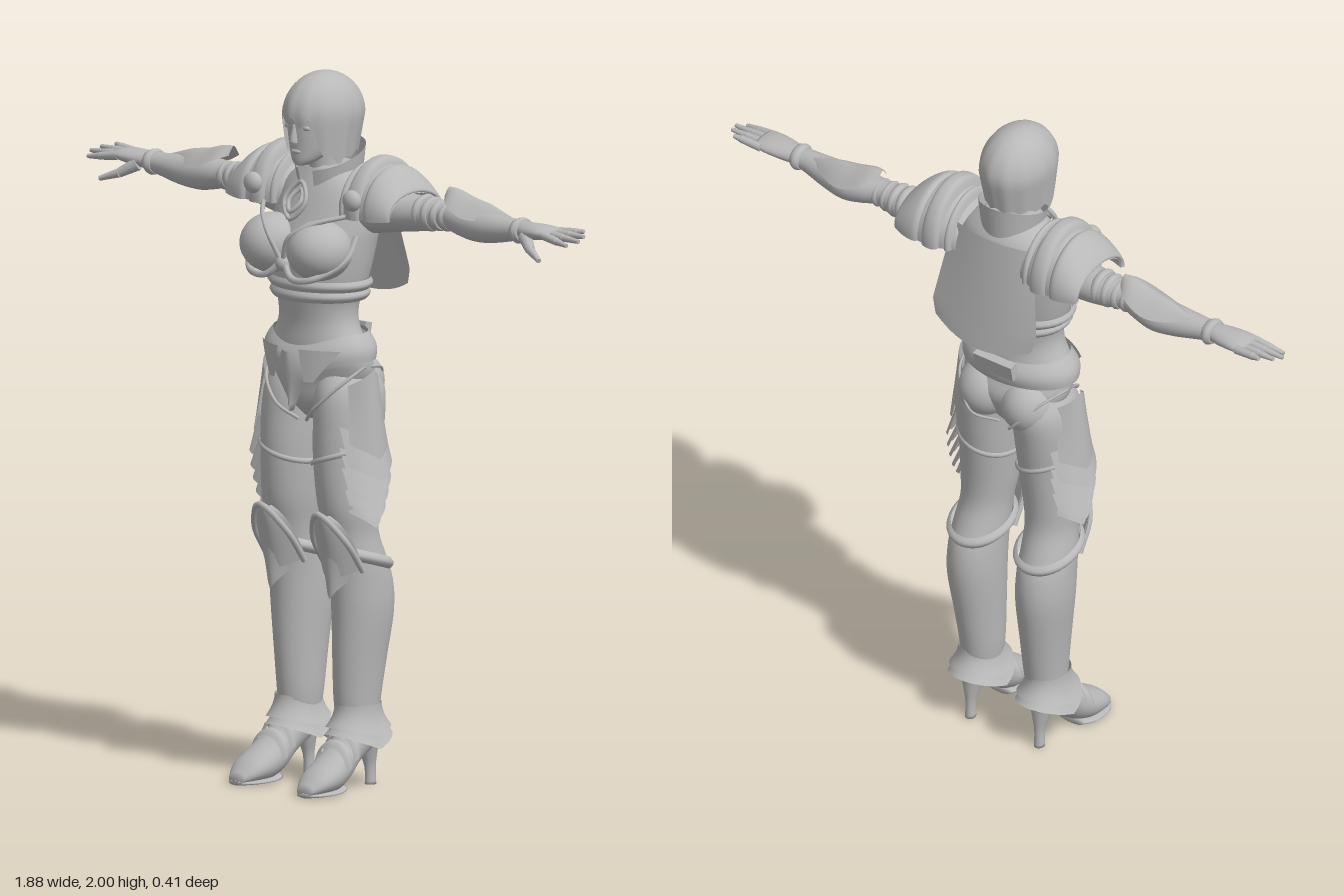
import * as THREE from 'three';
import { mergeVertices } from 'three/addons/utils/BufferGeometryUtils.js';

const steel = new THREE.MeshStandardMaterial({ name: 'plain grey', color: 0xb8b8b8, side: THREE.DoubleSide });
const { sin, cos, PI, abs, max, sqrt, min } = Math;
const V = (x, y, z) => new THREE.Vector3(x, y, z);

// smooth value through the section rows
function spline(rows, s) {
  const i = min(Math.floor(s), rows.length - 2), t = s - i;
  const at = k => rows[max(0, min(rows.length - 1, k))];
  return rows[0].map((_, c) => {
    const [p, a, b, q] = [at(i - 1)[c], at(i)[c], at(i + 1)[c], at(i + 2)[c]];
    const m = (b - p) / 2, n = (q - a) / 2;
    return a + m * t + (3 * (b - a) - 2 * m - n) * t * t + (2 * (a - b) + m + n) * t * t * t;
  });
}

// closed body from elliptical sections; row = [position on axis, centre a, centre b, radius a, radius b]
function loft(axis, rows, n = 28, steps = 4, capped = true) {
  const pos = [], idx = [], count = (rows.length - 1) * steps + 1;
  const place = (t, a, b) => axis === 'y' ? pos.push(a, t, b) : axis === 'x' ? pos.push(t, a, b) : pos.push(a, b, t);
  for (let i = 0; i < count; i++) {
    const [t, a, b, ra, rb] = spline(rows, i / steps);
    for (let j = 0; j < n; j++) {
      const w = j / n * PI * 2, c = cos(w), s = sin(w);
      axis === 'y' ? place(t, a + ra * c, b + rb * s) : place(t, a + ra * s, b + rb * c);
    }
  }
  for (let i = 0; i < count - 1; i++) for (let j = 0; j < n; j++) {
    const a = i * n + j, b = i * n + (j + 1) % n;
    idx.push(a, a + n, b, b, a + n, b + n);
  }
  if (capped) {
    const first = rows[0], last = rows[rows.length - 1], c = count * n, e = (count - 1) * n;
    place(...first); place(...last);
    for (let j = 0; j < n; j++) {
      const k = (j + 1) % n;
      idx.push(c, j, k, c + 1, e + k, e + j);
    }
  }
  return finish(pos, idx);
}

function finish(pos, idx) {
  const g = new THREE.BufferGeometry();
  g.setAttribute('position', new THREE.Float32BufferAttribute(pos, 3));
  g.setIndex(idx);
  g.computeVertexNormals();
  return g;
}

// thin curved sheet from a rule f(u, v) -> [x, y, z]
function sheet(nu, nv, f) {
  const pos = [], idx = [];
  for (let i = 0; i <= nv; i++) for (let j = 0; j <= nu; j++) pos.push(...f(j / nu, i / nv));
  for (let i = 0; i < nv; i++) for (let j = 0; j < nu; j++) {
    const a = i * (nu + 1) + j, b = a + nu + 1;
    idx.push(a, b, a + 1, a + 1, b, b + 1);
  }
  const g = mergeVertices(finish(pos, idx).deleteAttribute('normal'), 1e-5);
  g.computeVertexNormals();
  return g;
}

const ball = (x, y, z, rx, ry, rz) => new THREE.SphereGeometry(1, 24, 16).scale(rx, ry, rz).translate(x, y, z);
const tube = (pts, r, closed = false) =>
  new THREE.TubeGeometry(new THREE.CatmullRomCurve3(pts.map(p => V(...p)), closed, 'centripetal'), 24, r, 6, closed);
function rod(a, b, r0, r1) {
  const p = V(...a), q = V(...b), d = q.clone().sub(p);
  const g = new THREE.CylinderGeometry(r1, r0, d.length(), 10);
  g.applyQuaternion(new THREE.Quaternion().setFromUnitVectors(V(0, 1, 0), d.normalize()));
  const m = p.add(q).multiplyScalar(0.5);
  return g.translate(m.x, m.y, m.z);
}

function mirrored(geo) {
  const g = geo.clone().scale(-1, 1, 1), a = g.index.array;
  for (let i = 0; i < a.length; i += 3) [a[i + 1], a[i + 2]] = [a[i + 2], a[i + 1]];
  return g;
}

export function createModel() {
  const model = new THREE.Group();
  model.name = 'armouredFigure';
  const add = (name, geo) => { const m = new THREE.Mesh(geo, steel); m.name = name; model.add(m); };
  const pair = (name, geo) => { add(name + 'Left', geo); add(name + 'Right', mirrored(geo)); };

  // torso
  add('torso', loft('y', [[1.03, 0, -.01, .03, .05], [1.08, 0, -.01, .1, .088], [1.15, 0, -.02, .16, .105],
    [1.22, 0, 0, .168, .1], [1.3, 0, .005, .128, .092], [1.36, 0, .005, .125, .1], [1.42, 0, 0, .148, .115],
    [1.52, 0, -.012, .165, .128], [1.6, 0, -.03, .17, .118], [1.68, 0, -.045, .15, .1], [1.74, 0, -.04, .07, .065]], 36));
  pair('buttock', ball(.073, 1.13, -.062, .08, .085, .086));
  pair('breastCup', ball(.09, 1.52, .095, .09, .084, .095));
  pair('cupLowerRim', tube([[0, 1.49, .145], [.05, 1.445, .165], [.12, 1.45, .155], [.175, 1.5, .08], [.17, 1.56, .03]], .01));
  pair('cupUpperRim', tube([[0, 1.48, .15], [.04, 1.56, .165], [.1, 1.6, .125], [.16, 1.62, .06]], .007));
  add('chestStud', ball(0, 1.48, .15, .022, .022, .018));
  for (const [y, r] of [[1.385, .14], [1.415, .152]]) add('ribBand',
    loft('y', [[y - .015, 0, 0, r, .118], [y, 0, 0, r + .012, .126], [y + .015, 0, 0, r + .004, .12]], 36, 3, false));
  [.05, .028].forEach(r => add('chestDiamond',
    tube([[0, 1.65 + r, .075], [r * .8, 1.65, .1], [0, 1.65 - r, .12], [-r * .8, 1.65, .1]], .007, true)));

  // neck and standing collar, open at the throat
  add('neck', loft('y', [[1.68, 0, -.035, .06, .06], [1.74, 0, -.02, .046, .05], [1.8, 0, -.01, .045, .05]]));
  add('collar', sheet(32, 6, (u, v) => {
    const w = PI / 2 + .3 + u * (2 * PI - .6), back = (1 - sin(w)) / 2, r = .08 + .012 * v;
    return [r * 1.02 * cos(w), 1.67 + v * (.06 + .07 * back), -.04 + (r + .012) * sin(w)];
  }));

  // head
  add('face', loft('y', [[1.748, 0, .072, .018, .022], [1.765, 0, .052, .04, .046], [1.8, 0, .025, .06, .075],
    [1.85, 0, .008, .073, .096], [1.9, 0, 0, .08, .104], [1.95, 0, 0, .065, .08], [1.975, 0, 0, .03, .04]]));
  add('nose', loft('y', [[1.812, 0, .103, .012, .012], [1.822, 0, .104, .011, .013], [1.865, 0, .1, .006, .006]], 10));
  add('lips', ball(0, 1.787, .096, .018, .007, .007));
  pair('eye', ball(.033, 1.855, .091, .015, .007, .006));
  add('hair', sheet(96, 16, (u, v) => {
    const w = -PI / 2 + u * 2 * PI, front = sin(w), jag = abs((u * 24) % 2 - 1);
    const blend = THREE.MathUtils.smoothstep(front, .55, .9);
    const low = THREE.MathUtils.lerp(1.765 + .02 * max(0, -front), 1.87, blend) + .03 * (jag - .5) * (front > 0 ? 1 : .4);
    const y = 2 - (2 - low) * (1 - cos(v * PI / 2));
    const r = y > 1.88 ? sqrt(max(0, 1 - ((y - 1.88) / .12) ** 2)) : 1 - 1.6 * (1.88 - y) * (front < 0 ? 1 : .6);
    const ridge = 1 + .012 * sin(u * 24 * PI) * v;
    return [.1 * r * ridge * cos(w), y, -.014 + .128 * r * ridge * front];
  }));

  // back plate
  add('backPlate', sheet(24, 14, (u, v) => {
    const s = u * 2 - 1;
    return [s * (.135 + .05 * v) * (v > .85 ? 1 - (v - .85) * .8 : 1), 1.7 - v * (.34 - .04 * s * s),
      -.155 - .05 * v + .025 * s * s];
  }));

  // shoulder armour: arched shells stepping outwards
  const arch = (rows) => sheet(28, (rows.length - 1) * 4, (u, v) => {
    const [x, ry, rz] = spline(rows, v * (rows.length - 1)), a = -.1 + u * (PI + .2);
    return [x, 1.63 + ry * sin(a), -.058 + rz * cos(a)];
  });
  pair('pauldronShell', arch([[.11, .08, .1], [.16, .12, .118], [.21, .128, .122], [.26, .105, .118], [.31, .06, .1]]));
  pair('pauldronRib', arch([[.155, .115, .115], [.165, .145, .128], [.185, .15, .132], [.205, .145, .128], [.215, .12, .118]]));
  pair('pauldronOuterPlate', arch([[.225, .125, .122], [.24, .13, .13], [.275, .108, .126], [.312, .07, .112], [.305, .06, .1]]));
  pair('pauldronInnerRim', arch([[.12, .1, .1], [.128, .125, .115], [.14, .125, .115], [.146, .1, .1]]));
  pair('pauldronStud', ball(.19, 1.67, .07, .03, .03, .022));

  // arms
  pair('arm', loft('x', [[.14, 1.63, -.05, .075, .07], [.28, 1.63, -.07, .053, .058], [.36, 1.635, -.075, .046, .048],
    [.42, 1.64, -.075, .037, .038], [.47, 1.635, -.077, .043, .047], [.53, 1.63, -.08, .048, .053],
    [.6, 1.63, -.075, .042, .046], [.68, 1.636, -.07, .031, .034], [.72, 1.64, -.07, .027, .034]]));
  for (const [x, r] of [[.335, .052], [.365, .049], [.395, .044], [.425, .041]]) pair('armBand',
    loft('x', [[x - .013, 1.637, -.074, r - .006, r - .004], [x, 1.637, -.074, r, r + .002], [x + .013, 1.637, -.074, r - .006, r - .004]], 24, 3));
  const guard = [[.415, .02, 1.72, 1.695], [.45, .052, 1.718, 1.68], [.51, .064, 1.702, 1.655], [.57, .05, 1.692, 1.65], [.65, .006, 1.668, 1.66]];
  pair('forearmGuard', sheet(12, 16, (u, v) => {
    const [x, hw, top, edge] = spline(guard, v * 4), s = u * 2 - 1;
    return [x, top + (edge - top) * abs(s) ** 1.5, -.085 + hw * s];
  }));
  pair('gauntletCuff', loft('x', [[.69, 1.638, -.07, .031, .035], [.705, 1.638, -.07, .037, .043], [.72, 1.64, -.07, .03, .036]], 24, 3));

  // hands
  pair('palm', loft('x', [[.71, 1.64, -.07, .024, .03], [.75, 1.642, -.07, .024, .04], [.8, 1.645, -.071, .02, .046], [.835, 1.645, -.072, .013, .042]]));
  [[-.108, .9, 1.655], [-.085, .928, 1.648], [-.061, .938, 1.64], [-.038, .92, 1.63]].forEach(([z, tip, y], i) => {
    const spread = (z + .072) * .3, k = [.875, y * .6 + .658, z + spread * .5];
    pair('fingerBase' + i, rod([.815, 1.645, z], k, .0125, .011));
    pair('fingerTip' + i, rod(k, [tip, y, z + spread], .0105, .006));
    pair('knuckle' + i, ball(...k, .011, .011, .011));
  });
  pair('thumbBase', rod([.745, 1.63, -.045], [.79, 1.602, -.018], .02, .014));
  pair('thumbTip', rod([.79, 1.602, -.018], [.845, 1.582, .004], .013, .007));

  // hips: belt dipping at the front, buckle, hanging plates, brief seams
  add('belt', sheet(48, 8, (u, v) => {
    const w = -PI / 2 + u * 2 * PI, f = max(0, sin(w)) ** 3, bulge = .012 * sin(v * PI);
    return [(.18 - .03 * v + bulge) * cos(w), 1.205 + .075 * v - f * .035, -.002 + (.118 - .01 * v + bulge) * sin(w)];
  }));
  add('backBuckle', new THREE.BoxGeometry(.13, .05, .025).rotateX(-.2).translate(0, 1.26, -.122));
  add('frontPlate', sheet(8, 8, (u, v) => {
    const s = u * 2 - 1, w = v < .35 ? .03 + v * .1 : .065 * (1 - (v - .35) / .65);
    return [s * w, 1.23 - .17 * v, .14 - .02 * abs(s) - .015 * v];
  }));
  pair('hipPlate', sheet(6, 8, (u, v) => {
    const x = .04 + u * .11 * (1 - v * .75) + v * .015;
    return [x, 1.24 - .09 * v, .128 - x * x * 2.6 + .004];
  }));
  pair('briefSeam', tube([[.172, 1.19, .0], [.14, 1.14, .07], [.07, 1.07, .1], [.015, 1.03, .07]], .005));
  pair('briefBackSeam', tube([[.172, 1.19, -.02], [.14, 1.17, -.1], [.07, 1.09, -.145], [.02, 1.04, -.08]], .004));

  // legs
  pair('leg', loft('y', [[.13, .115, -.035, .05, .055], [.23, .109, -.034, .058, .07], [.35, .112, -.04, .065, .084],
    [.49, .117, -.048, .076, .097], [.58, .117, -.042, .077, .097], [.65, .115, -.025, .075, .088], [.72, .11, -.01, .072, .08],
    [.8, .107, 0, .08, .09], [.92, .101, -.002, .085, .102], [1.02, .1, -.01, .09, .108], [1.12, .094, -.02, .085, .108], [1.19, .085, -.02, .05, .07]], 32));
  pair('stockingHem', sheet(32, 4, (u, v) => {
    const w = u * PI * 2, r = .003 + .004 * sin(v * PI);
    return [.101 + (.086 + r) * cos(w), .925 + .016 * v + .03 * cos(w), -.002 + (.103 + r) * sin(w)];
  }));
  pair('bootLip', sheet(36, 6, (u, v) => {
    const w = -PI / 2 + u * PI * 2, f = (1 + sin(w)) / 2, r = .006 + .012 * sin(v * PI);
    return [.114 + (.076 + r) * cos(w), .6 + .035 * v + .06 * f, -.028 + (.092 + r) * sin(w)];
  }));

  // knee armour: pointed crest over a lower chevron
  pair('kneeCrest', sheet(14, 12, (u, v) => {
    const s = u * 2 - 1, hw = .076 * sqrt(max(0, 1 - (v * .97) ** 3));
    return [.112 + s * hw, .6 + .18 * v + .03 * s * s * (1 - v), .078 + .045 * v - .06 * s * s * (1 - v * .6)];
  }));
  pair('kneeArch', tube([[.185, .62, .02], [.175, .71, .08], [.112, .785, .125], [.05, .71, .08], [.04, .62, .02]], .009));
  pair('kneeChevron', sheet(10, 6, (u, v) => {
    const s = u * 2 - 1;
    return [.114 + s * .055 * (1 - v * .3), .68 - .09 * v + .05 * (1 - abs(s)) * (1 - 2 * v), .1 - .02 * v - .035 * s * s];
  }));

  // overlapping thigh scales on the outer sides
  const scales = [[1.155, .97, .075, .205, .228], [1.02, .91, .085, .2, .236], [.96, .87, .082, .197, .235],
    [.92, .835, .077, .194, .23], [.88, .8, .07, .19, .224], [.85, .775, .06, .186, .214]];
  scales.forEach(([top, low, hw, x0, x1], i) => pair('thighScale' + i, sheet(12, 6, (u, v) => {
    const s = u * 2 - 1, drop = .045 * (1 - abs(s)) - .012;
    const narrow = i === 0 ? .75 + .25 * v : 1;
    return [x0 + (x1 - x0) * v - .045 * s * s, top + (low - top) * v - drop * (i === 0 ? v * 2 - 1 : 1), -.002 + s * hw * narrow];
  })));

  // boots: flared cuff, instep bands, foot and heel
  [[.235, .15, .058, .084], [.2, .115, .062, .088]].forEach(([top, low, r0, r1], i) => pair('ankleFlare' + i, sheet(32, 6, (u, v) => {
    const w = -PI / 2 + u * PI * 2, r = r0 + (r1 - r0) * v * v;
    const y = top + (low - top) * v + (i ? .04 : .025) * v * abs(sin(w));
    return [.115 + r * cos(w), y, -.032 + (r + .014) * sin(w)];
  })));
  pair('foot', loft('z', [[-.1, .118, .15, .025, .025], [-.06, .118, .155, .045, .055], [0, .12, .13, .05, .066],
    [.05, .123, .085, .056, .062], [.1, .127, .056, .06, .053], [.16, .13, .036, .052, .034], [.2, .131, .016, .026, .014]]));
  pair('sole', loft('z', [[.06, .124, .012, .04, .012], [.1, .127, .009, .058, .009], [.16, .13, .008, .054, .008], [.2, .131, .007, .027, .007]], 20));
  pair('heel', loft('y', [[0, .118, -.078, .015, .017], [.05, .118, -.076, .014, .018], [.1, .118, -.068, .025, .03], [.15, .118, -.06, .04, .04]], 16));
  [[.03, .105, .06, .068], [.062, .08, .062, .064]].forEach(([z, y, rx, ry], i) => pair('instepBand' + i, sheet(16, 4, (u, v) => {
    const a = u * PI, b = .006 * sin(v * PI);
    return [.123 + (rx + b) * cos(a), y + (ry + b) * sin(a) - .018 * v, z + .025 * v];
  })));
  return model;
}
